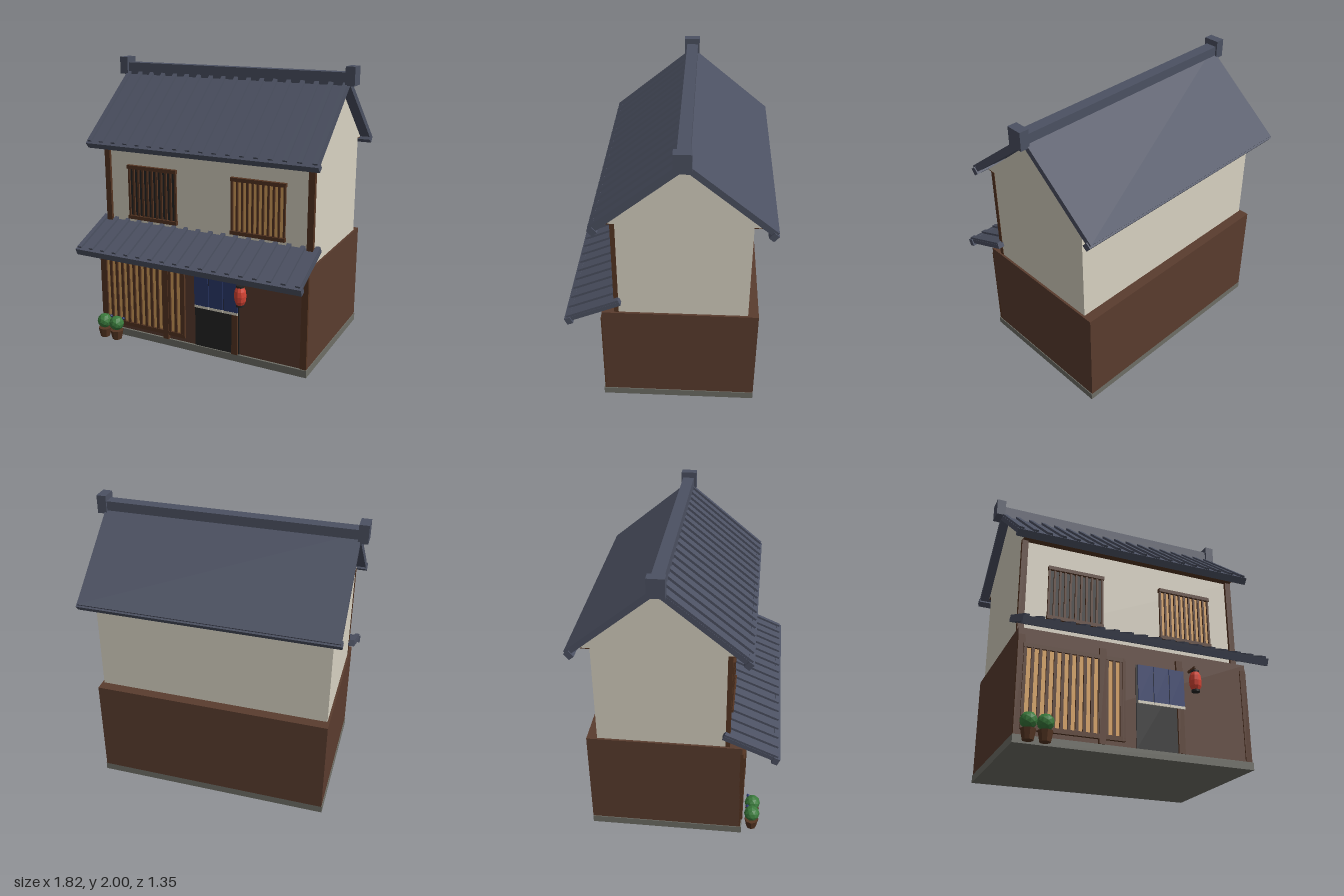
import * as THREE from 'three';

const mat = (name, color) => {
  const m = new THREE.MeshStandardMaterial({ color });
  m.name = name;
  return m;
};

export function createModel() {
  const cream = mat('cream plaster', 0xd8d2c2);
  const wood = mat('wall wood', 0x5a3c2e);
  const trim = mat('trim wood', 0x553522);
  const tile = mat('roof tile', 0x4c5162);
  const stone = mat('stone', 0x6e6e66);
  const black = mat('dark opening', 0x242424);
  const glow = mat('warm paper', 0xd6a05c);
  const navy = mat('navy cloth', 0x2c3a6c);
  const red = mat('lantern red', 0xd64434);
  const green = mat('leaf green', 0x3a7a3c);
  red.flatShading = green.flatShading = trim.flatShading = true;

  const house = new THREE.Group();
  house.name = 'townhouse';

  const add = (parent, name, geometry, material, x = 0, y = 0, z = 0) => {
    const mesh = new THREE.Mesh(geometry, material);
    mesh.name = name;
    mesh.position.set(x, y, z);
    parent.add(mesh);
    return mesh;
  };
  // Box given by its limits on each axis
  const box = (parent, name, material, [x0, x1], [y0, y1], [z0, z1]) =>
    add(parent, name, new THREE.BoxGeometry(x1 - x0, y1 - y0, z1 - z0), material,
      (x0 + x1) / 2, (y0 + y1) / 2, (z0 + z1) / 2);
  const group = (name, x = 0, y = 0, z = 0) => {
    const g = new THREE.Group();
    g.name = name;
    g.position.set(x, y, z);
    house.add(g);
    return g;
  };

  // Foundation and ground floor
  box(house, 'foundation', stone, [-0.82, 0.82], [0, 0.052], [-0.6, 0.445]);
  box(house, 'groundFloor', wood, [-0.815, 0.815], [0.052, 0.75], [-0.6, 0.43]);

  // Upper floor with gables
  box(house, 'upperFloor', cream, [-0.8, 0.8], [0.75, 1.45], [-0.53, 0.327]);
  const gable = new THREE.Shape([
    new THREE.Vector2(-0.38, 1.45), new THREE.Vector2(0.59, 1.45), new THREE.Vector2(0.1, 1.862),
  ]);
  const gableGeo = new THREE.ExtrudeGeometry(gable, { depth: 1.6, bevelEnabled: false });
  gableGeo.rotateY(Math.PI / 2);
  add(house, 'gable', gableGeo, cream, -0.8);
  box(house, 'backSoffit', trim, [-0.8, 0.8], [1.444, 1.45], [-0.588, -0.53]);
  box(house, 'frontSoffit', trim, [-0.8, 0.8], [1.444, 1.45], [0.327, 0.378]);

  // Sloped roof: local +z runs down the slope, y = 0 is the outer face
  const slope = (name, y, z, angle, length, half, thick, battens) => {
    const g = group(name, 0, y, z);
    g.rotation.order = 'YXZ';
    g.rotation.x = angle;
    const top = battens ? -0.016 : 0;
    box(g, 'slab', tile, [-half, half], [top - thick, top], [0.0, length]);
    box(g, 'eave', tile, [-half - 0.008, half + 0.008], [-0.064, -0.014], [length - 0.03, length + 0.012]);
    if (battens) {
      for (let i = 0; i < 18; i++) {
        const x = (i / 17 * 2 - 1) * (half - 0.018);
        box(g, 'batten', tile, [x - 0.016, x + 0.016], [-0.02, 0], [0, length - 0.006]);
      }
    }
    return g;
  };
  slope('frontRoof', 1.928, -0.1, 0.686, 0.745, 0.86, 0.034, true);
  slope('backRoof', 1.928, -0.1, 0.686, 0.745, 0.86, 0.04, false).rotation.y = Math.PI;
  slope('pentRoof', 0.882, 0.315, 0.408, 0.385, 0.845, 0.03, true);

  // Ridge and its end caps
  box(house, 'ridge', tile, [-0.86, 0.86], [1.87, 1.96], [-0.14, -0.06]);
  for (const s of [-1, 1]) {
    add(house, 'ridgeCap', new THREE.BoxGeometry(0.065, 0.125, 0.11), tile, s * 0.8775, 1.9375, -0.097);
    add(house, 'upperPillar', new THREE.BoxGeometry(0.043, 0.7, 0.03), trim, s * 0.782, 1.1, 0.332);
    add(house, 'cornerPost', new THREE.BoxGeometry(0.045, 0.65, 0.02), trim, s * 0.7925, 0.377, 0.428);
  }

  // Upper slatted windows
  const slatWindow = (name, x, pane) => {
    const g = group(name, x, 0, 0.327);
    box(g, 'pane', pane, [-0.19, 0.19], [0.9, 1.26], [0, 0.008]);
    for (let i = 0; i < 11; i++) {
      const sx = -0.19 + i * 0.038;
      box(g, 'slat', trim, [sx - 0.007, sx + 0.007], [0.9, 1.26], [0.005, 0.02]);
    }
    for (const y of [0.885, 1.255]) box(g, 'rail', trim, [-0.2, 0.2], [y, y + 0.026], [0, 0.028]);
  };
  slatWindow('darkWindow', -0.411, black);
  slatWindow('litWindow', 0.409, glow);

  // Ground floor lattice
  const lattice = group('lattice', 0, 0, 0.43);
  box(lattice, 'paper', glow, [-0.765, -0.11], [0.11, 0.62], [0, 0.005]);
  for (let i = 0; i < 14; i++) {
    const x = -0.768 + i * 0.0494;
    box(lattice, 'slat', trim, [x - 0.01, x + 0.01], [0.1, 0.63], [0.003, 0.017]);
  }
  box(lattice, 'topRail', trim, [-0.78, -0.1], [0.615, 0.642], [0, 0.02]);
  box(lattice, 'bottomRail', trim, [-0.78, -0.1], [0.085, 0.115], [0, 0.02]);
  box(lattice, 'rightStile', trim, [-0.118, -0.1], [0.085, 0.642], [0, 0.02]);
  box(lattice, 'post', trim, [-0.277, -0.233], [0.052, 0.69], [0, 0.022]);

  // Doorway, door post and split curtain
  box(house, 'doorway', black, [-0.02, 0.322], [0.052, 0.62], [0.43, 0.436]);
  box(house, 'doorPost', trim, [0.27, 0.315], [0.052, 0.69], [0.43, 0.45]);
  for (let i = 0; i < 3; i++) {
    const x = -0.014 + i * 0.113;
    box(house, 'curtain', navy, [x, x + 0.107], [0.368, 0.615], [0.45, 0.457]);
    box(house, 'curtainHem', cream, [x, x + 0.109], [0.35, 0.368], [0.449, 0.458]);
  }

  // Hanging lantern
  const lantern = group('lantern', 0.37, 0, 0.52);
  box(lantern, 'bracket', trim, [-0.007, 0.007], [0.622, 0.636], [-0.09, 0.012]);
  box(lantern, 'cord', trim, [-0.003, 0.003], [0.6, 0.625], [-0.003, 0.003]);
  const profile = [[0.026, -0.062], [0.038, -0.036], [0.042, 0], [0.038, 0.036], [0.026, 0.062]];
  add(lantern, 'lanternBody',
    new THREE.LatheGeometry(profile.map(([r, y]) => new THREE.Vector2(r, y)), 10), red, 0, 0.53);
  for (const y of [0.462, 0.598])
    add(lantern, 'lanternCap', new THREE.CylinderGeometry(0.028, 0.028, 0.014, 10), black, 0, y);

  // Potted plants
  for (const x of [-0.745, -0.64]) {
    const g = group('pottedPlant', x, 0, 0.514);
    add(g, 'pot', new THREE.CylinderGeometry(0.049, 0.035, 0.068, 8), trim, 0, 0.034);
    add(g, 'foliage', new THREE.IcosahedronGeometry(0.054, 1), green, 0, 0.121);
    add(g, 'blossom', new THREE.IcosahedronGeometry(0.013, 0), navy, 0.036, 0.15, -0.034);
  }

  return house;
}
